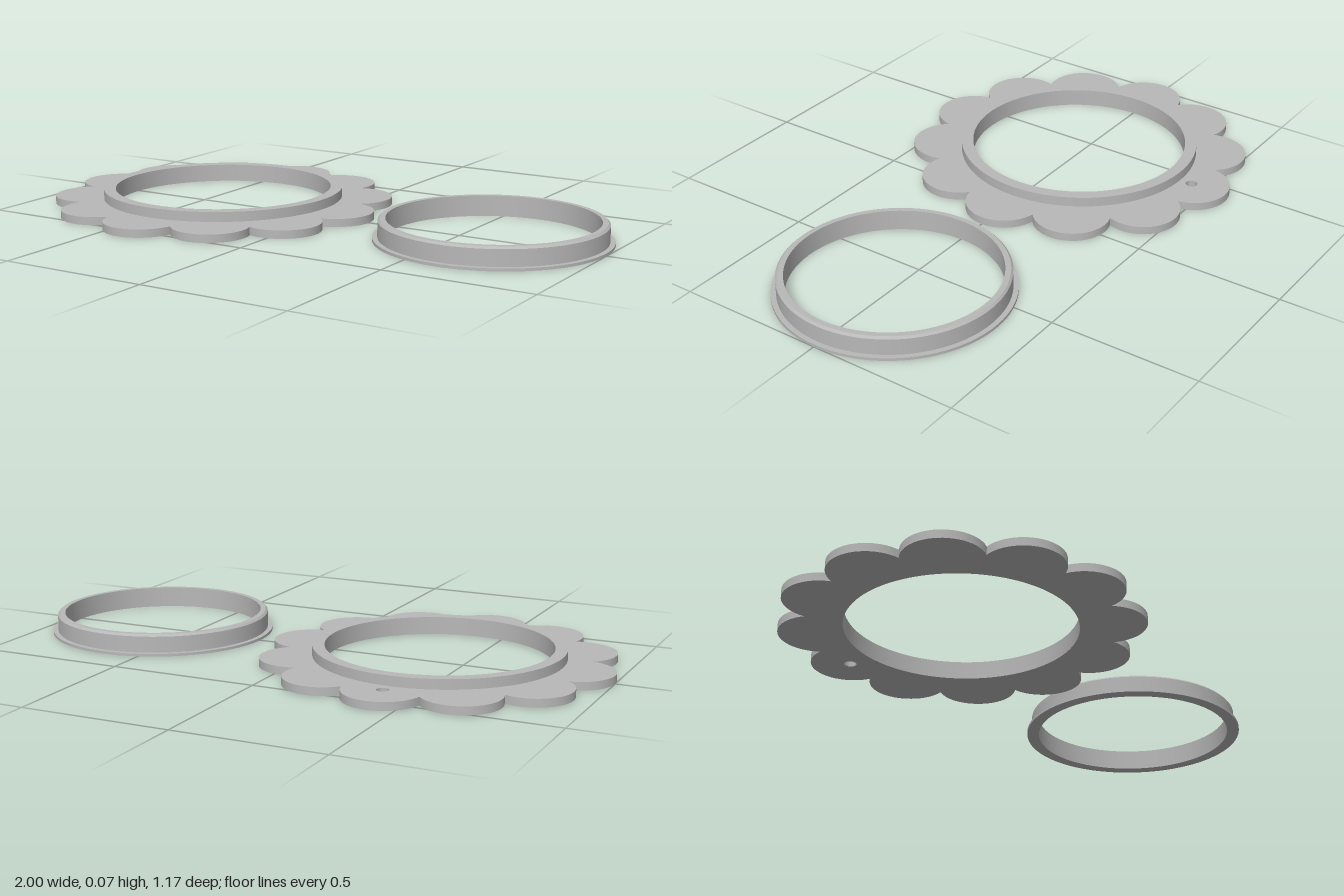
import * as THREE from 'three';
import { toCreasedNormals } from 'three/addons/utils/BufferGeometryUtils.js';

const CREASE = 0.5;

// Closed ring turned from a cross-section of [radius, height] corners
function turnedRing(name, section, material) {
  const points = [...section, section[0]].map(([r, y]) => new THREE.Vector2(r, y));
  const mesh = new THREE.Mesh(toCreasedNormals(new THREE.LatheGeometry(points, 120), CREASE), material);
  mesh.name = name;
  return mesh;
}

function circlePath(x, y, radius) {
  return new THREE.Path().absarc(x, y, radius, 0, Math.PI * 2, true);
}

// Scalloped outline made of overlapping petal circles
function scallopedShape(count, distance, radius) {
  const half = Math.PI / count;
  const notch = distance * Math.cos(half) + Math.sqrt(radius ** 2 - (distance * Math.sin(half)) ** 2);
  const sweep = Math.atan2(notch * Math.sin(half), notch * Math.cos(half) - distance);
  const steps = 24;
  const points = [];
  for (let i = 0; i < count; i++) {
    const a = i * 2 * half;
    for (let j = 0; j < steps; j++) {
      const t = a - sweep + (2 * sweep * j) / steps;
      points.push(new THREE.Vector2(
        distance * Math.cos(a) + radius * Math.cos(t),
        distance * Math.sin(a) + radius * Math.sin(t)
      ));
    }
  }
  return new THREE.Shape(points);
}

export function createModel() {
  const model = new THREE.Group();
  model.name = 'flowerFrame';
  const grey = new THREE.MeshStandardMaterial({ color: 0xb8b8b8 });
  grey.name = 'grey';

  // Flower: petal plate with a large opening and a small hanging hole
  const flower = new THREE.Group();
  flower.name = 'flower';
  flower.position.x = -0.417;
  const petalDistance = 0.4545, plateTop = 0.027, opening = 0.371;
  const shape = scallopedShape(12, petalDistance, 0.1288);
  shape.holes.push(circlePath(0, 0, opening), circlePath(0, petalDistance, 0.02));
  const plateGeometry = new THREE.ExtrudeGeometry(shape, { depth: plateTop, bevelEnabled: false, curveSegments: 60 });
  plateGeometry.rotateX(-Math.PI / 2);
  const plate = new THREE.Mesh(toCreasedNormals(plateGeometry, CREASE), grey);
  plate.name = 'petalPlate';

  // Raised collar around the opening
  const collar = turnedRing('collar', [
    [opening, plateTop], [0.411, plateTop], [0.411, 0.06], [opening, 0.06]
  ], grey);
  flower.add(plate, collar);

  // Separate insert ring with a thin foot flange and a chamfered top edge
  const insert = turnedRing('insertRing', [
    [0.339, 0], [0.381, 0], [0.381, 0.009], [0.364, 0.009],
    [0.364, 0.063], [0.357, 0.07], [0.339, 0.07]
  ], grey);
  insert.position.x = 0.619;

  model.add(flower, insert);
  return model;
}
